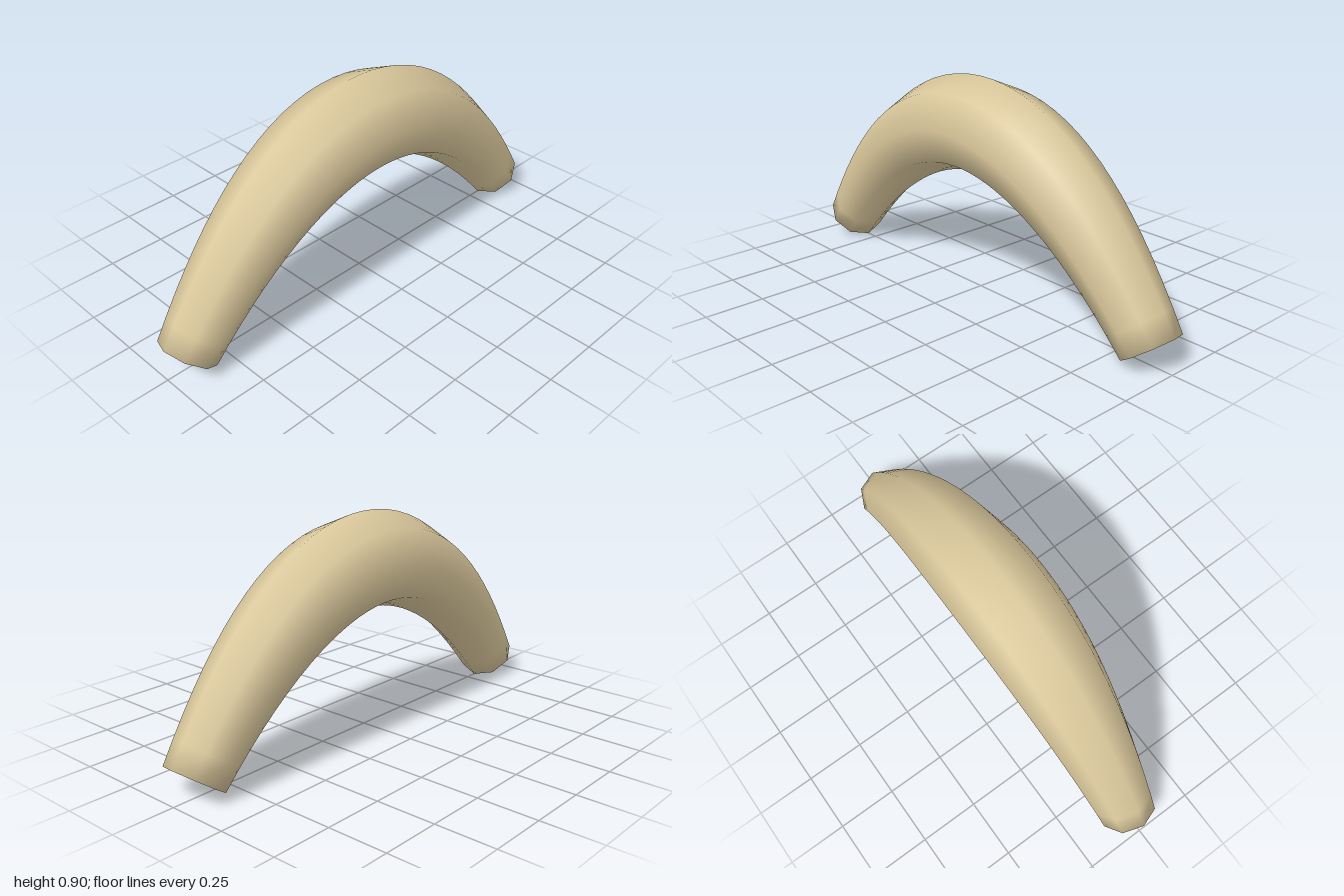
import * as THREE from 'three';

const SIDES = 8, SEGMENTS = 32;

// Arched tube: octagonal rings swept along a parabola, thickest at the crown.
function archGeometry() {
  const halfSpan = 0.903, footY = 0.07, rise = 0.63;
  const points = [], index = [];
  for (let i = 0; i <= SEGMENTS; i++) {
    const u = (i / SEGMENTS) * 2 - 1;
    const y = footY + rise * (1 - u * u), z = halfSpan * u;
    const radius = 0.12 + 0.08 * Math.cos(u * Math.PI / 2);
    const up = new THREE.Vector3(0, 1, 2 * rise * u / halfSpan).normalize();
    for (let j = 0; j < SIDES; j++) {
      const a = (j / SIDES) * Math.PI * 2;
      const r = radius * Math.cos(a);
      points.push(radius * Math.sin(a), y + r * up.y, z + r * up.z);
    }
  }
  for (let i = 0; i < SEGMENTS; i++) {
    for (let j = 0; j < SIDES; j++) {
      const k = (j + 1) % SIDES;
      const a = i * SIDES + j, b = i * SIDES + k;
      index.push(a, a + SIDES, b, b, a + SIDES, b + SIDES);
    }
  }
  // Flat end caps, sharing the rim so the shading runs over the edge
  const back = points.length / 3, front = back + 1, last = SEGMENTS * SIDES;
  points.push(0, footY, -halfSpan, 0, footY, halfSpan);
  for (let j = 0; j < SIDES; j++) {
    const k = (j + 1) % SIDES;
    index.push(back, j, k, front, last + k, last + j);
  }
  const geometry = new THREE.BufferGeometry();
  geometry.setAttribute('position', new THREE.Float32BufferAttribute(points, 3));
  geometry.setIndex(index);
  geometry.computeVertexNormals();
  return geometry;
}

export function createModel() {
  const tan = new THREE.MeshStandardMaterial({ color: 0xd9c79b });
  tan.name = 'tan';
  const arch = new THREE.Mesh(archGeometry(), tan);
  arch.name = 'arch';
  const model = new THREE.Group();
  model.name = 'archedTube';
  model.add(arch);
  return model;
}
